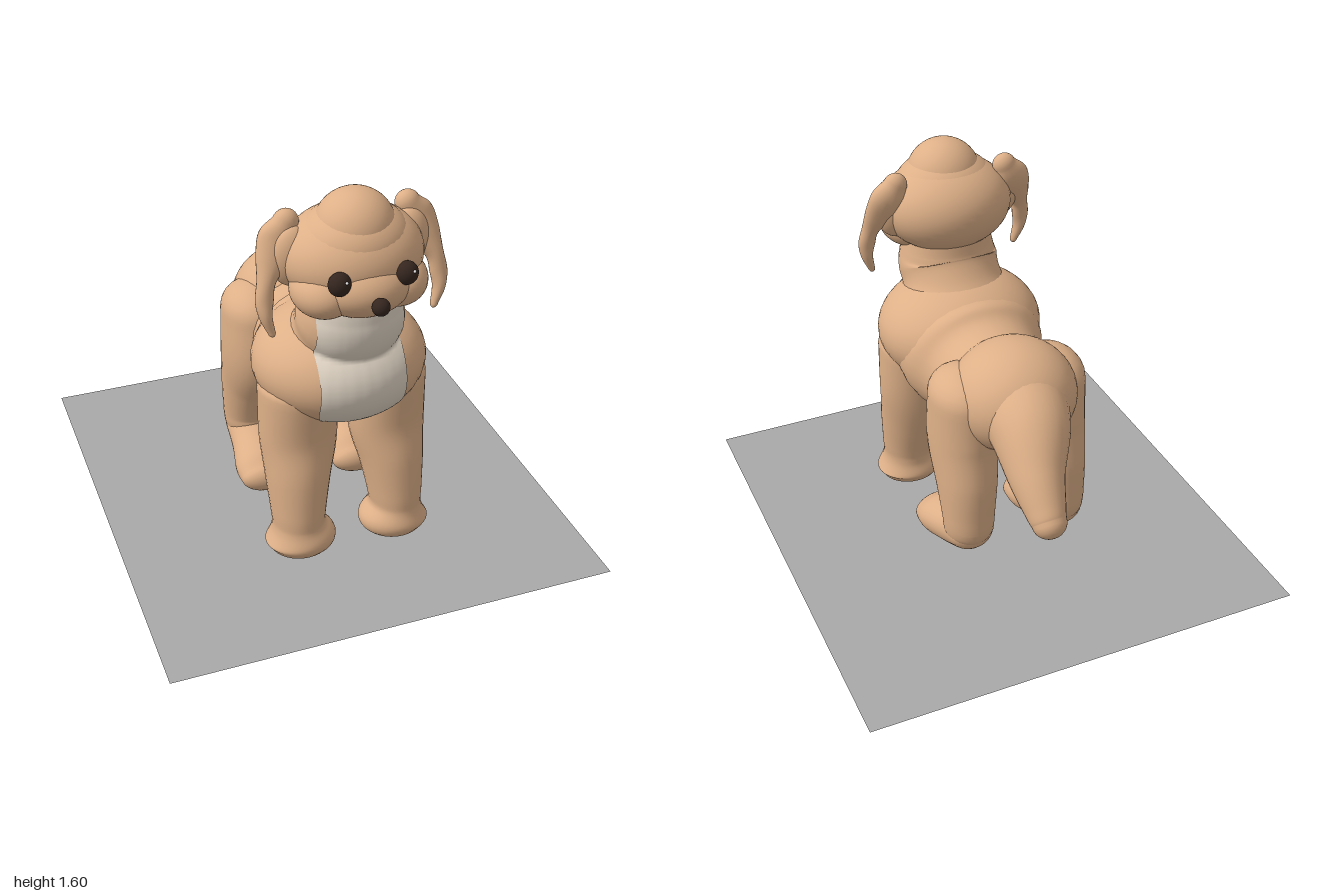
import * as THREE from 'three';

const mat = (name, color, side = THREE.FrontSide) => {
  const m = new THREE.MeshStandardMaterial({ color, side });
  m.name = name;
  return m;
};

// Smooth tube through stations [x, y, z, width radius, depth radius] with rounded ends
function loft(stations, capA, capB, steps = 28, sides = 32) {
  const path = new THREE.CatmullRomCurve3(stations.map(s => new THREE.Vector3(s[0], s[1], s[2])), false, 'catmullrom');
  const size = new THREE.CatmullRomCurve3(stations.map(s => new THREE.Vector3(s[3], s[4], 0)), false, 'catmullrom');
  const rings = [];
  const capSteps = 7;
  for (let k = 0; k < capSteps; k++) {
    const a = (k / capSteps) * Math.PI / 2;
    rings.push([0, -capA * Math.cos(a), Math.max(Math.sin(a), 0.002)]);
  }
  for (let k = 0; k <= steps; k++) rings.push([k / steps, 0, 1]);
  for (let k = capSteps - 1; k >= 0; k--) {
    const a = (k / capSteps) * Math.PI / 2;
    rings.push([1, capB * Math.cos(a), Math.max(Math.sin(a), 0.002)]);
  }
  const pos = [], index = [];
  rings.forEach(([t, push, scale], i) => {
    const T = path.getTangent(t);
    const c = path.getPoint(t).addScaledVector(T, push);
    const r = size.getPoint(t);
    const side = new THREE.Vector3(1, 0, 0).addScaledVector(T, -T.x).normalize();
    const up = T.clone().cross(side);
    for (let j = 0; j < sides; j++) {
      const a = (j / sides) * Math.PI * 2;
      const p = c.clone()
        .addScaledVector(side, r.x * scale * Math.cos(a))
        .addScaledVector(up, r.y * scale * Math.sin(a));
      pos.push(p.x, p.y, p.z);
      if (i + 1 < rings.length) {
        const j2 = (j + 1) % sides;
        const A = i * sides + j, B = i * sides + j2, C = A + sides, D = B + sides;
        index.push(A, B, C, B, D, C);
      }
    }
  });
  const g = new THREE.BufferGeometry();
  g.setAttribute('position', new THREE.Float32BufferAttribute(pos, 3));
  g.setIndex(index);
  g.computeVertexNormals();
  return g;
}

const ball = (x, y, z, rx, ry, rz) =>
  new THREE.SphereGeometry(1, 40, 28).scale(rx, ry, rz).translate(x, y, z);

// Thin painted patch draped over the front of the given meshes
function drape(targets, yTop, yBottom, halfWidth, nx, ny) {
  const ray = new THREE.Raycaster();
  const toBack = new THREE.Vector3(0, 0, -1);
  const pos = [], index = [];
  for (let i = 0; i <= ny; i++) {
    const y = yTop + (yBottom - yTop) * i / ny;
    for (let j = 0; j <= nx; j++) {
      const x = halfWidth(y) * (2 * j / nx - 1);
      ray.set(new THREE.Vector3(x, y, 2), toBack);
      const hit = ray.intersectObjects(targets)[0];
      pos.push(x, y, (hit ? hit.point.z : 0.45) + 0.006);
      if (i < ny && j < nx) {
        const a = i * (nx + 1) + j, b = a + nx + 1;
        index.push(a, b, a + 1, b, b + 1, a + 1);
      }
    }
  }
  const g = new THREE.BufferGeometry();
  g.setAttribute('position', new THREE.Float32BufferAttribute(pos, 3));
  g.setIndex(index);
  g.computeVertexNormals();
  return g;
}

export function createModel() {
  const model = new THREE.Group();
  model.name = 'puppy';
  const fur = mat('tan fur', 0xdeb088);
  const cream = mat('cream fur', 0xe2d6c6, THREE.DoubleSide);
  const dark = mat('dark brown', 0x35261f);
  const shine = mat('eye shine', 0xffffff);
  const grey = mat('grey base', 0xa9a9a9, THREE.DoubleSide);

  const add = (name, geometry, material = fur) => {
    const mesh = new THREE.Mesh(geometry, material);
    mesh.name = name;
    model.add(mesh);
    return mesh;
  };

  // Flat base sheet
  add('baseSheet', new THREE.PlaneGeometry(1.83, 2).rotateX(-Math.PI / 2), grey);

  // Torso
  const chest = add('chest', ball(0, 0.82, 0.3, 0.35, 0.24, 0.32));
  add('belly', loft([
    [0, 0.82, 0.34, 0.31, 0.2],
    [0, 0.755, 0.15, 0.31, 0.27],
    [0, 0.735, 0, 0.255, 0.235],
    [0, 0.74, -0.2, 0.23, 0.23],
  ], 0.1, 0.1));
  add('rump', ball(0, 0.79, -0.25, 0.26, 0.23, 0.25));
  add('tail', loft([
    [0, 0.79, -0.32, 0.19, 0.19],
    [0.02, 0.745, -0.45, 0.165, 0.17],
    [0.055, 0.635, -0.59, 0.115, 0.123],
    [0.065, 0.54, -0.695, 0.082, 0.085],
    [0.065, 0.505, -0.73, 0.07, 0.07],
  ], 0.1, 0.065));

  // Neck with a soft roll under the chin
  const neck = add('neck', loft([
    [0, 0.86, 0.32, 0.29, 0.26],
    [0, 0.99, 0.375, 0.215, 0.19],
    [0, 1.07, 0.42, 0.212, 0.192],
    [0, 1.13, 0.43, 0.2, 0.18],
    [0, 1.22, 0.43, 0.18, 0.17],
  ], 0.05, 0.05));

  // Cream bib with a rounded lower edge
  const bibWidth = y => {
    const k = Math.max(0, (0.76 - y) / 0.14);
    return 0.09 + 0.085 * Math.sqrt(Math.max(0, 1 - k * k));
  };
  add('bib', drape([chest, neck], 1.17, 0.62, bibWidth, 24, 50), cream);

  // Head
  add('skull', ball(0, 1.335, 0.425, 0.275, 0.195, 0.232));
  add('crown', ball(0, 1.45, 0.45, 0.155, 0.152, 0.15));
  add('crownBase', ball(0, 1.4, 0.44, 0.215, 0.15, 0.19));
  add('muzzle', ball(0, 1.265, 0.53, 0.19, 0.125, 0.165));
  add('nose', ball(0, 1.255, 0.718, 0.034, 0.034, 0.032), dark);

  for (const [label, s] of [['left', 1], ['right', -1]]) {
    const mirror = stations => stations.map(([x, ...rest]) => [s * x, ...rest]);

    // Face
    add(label + 'Cheek', ball(s * 0.14, 1.245, 0.5, 0.125, 0.105, 0.145));
    add(label + 'Eye', ball(s * 0.13, 1.332, 0.642, 0.043, 0.046, 0.038), dark);
    add(label + 'EyeShine', ball(s * 0.13 + 0.016, 1.35, 0.674, 0.006, 0.006, 0.006), shine);

    // Wavy hanging ear
    add(label + 'Ear', loft(mirror([
      [0.24, 1.475, 0.375, 0.05, 0.042],
      [0.27, 1.415, 0.38, 0.078, 0.048],
      [0.305, 1.34, 0.405, 0.062, 0.042],
      [0.335, 1.27, 0.43, 0.036, 0.034],
      [0.348, 1.2, 0.445, 0.035, 0.03],
      [0.347, 1.14, 0.455, 0.025, 0.03],
      [0.328, 1.075, 0.462, 0.015, 0.018],
    ]), 0.05, 0.022, 36, 20));
    add(label + 'EarBase', ball(s * 0.23, 1.35, 0.41, 0.085, 0.12, 0.06));

    // Front leg with a flared paw
    add(label + 'FrontLeg', loft(mirror([
      [0.19, 0.74, 0.34, 0.155, 0.17],
      [0.188, 0.52, 0.35, 0.158, 0.145],
      [0.202, 0.35, 0.385, 0.133, 0.135],
      [0.21, 0.2, 0.412, 0.113, 0.12],
      [0.21, 0.13, 0.417, 0.11, 0.117],
      [0.204, 0.065, 0.42, 0.146, 0.133],
      [0.204, 0.025, 0.42, 0.125, 0.112],
    ]), 0.08, 0.018, 42));

    // Hind leg and long foot
    add(label + 'HindLeg', loft(mirror([
      [0.19, 0.8, -0.19, 0.14, 0.17],
      [0.195, 0.6, -0.19, 0.14, 0.175],
      [0.2, 0.42, -0.24, 0.125, 0.142],
      [0.205, 0.27, -0.268, 0.11, 0.112],
      [0.205, 0.21, -0.27, 0.105, 0.108],
    ]), 0.12, 0.09));
    add(label + 'HindFoot', loft(mirror([
      [0.205, 0.185, -0.28, 0.1, 0.085],
      [0.205, 0.135, -0.17, 0.105, 0.09],
      [0.207, 0.1, -0.05, 0.125, 0.092],
      [0.207, 0.082, 0.02, 0.12, 0.072],
    ]), 0.08, 0.06));
  }
  return model;
}
